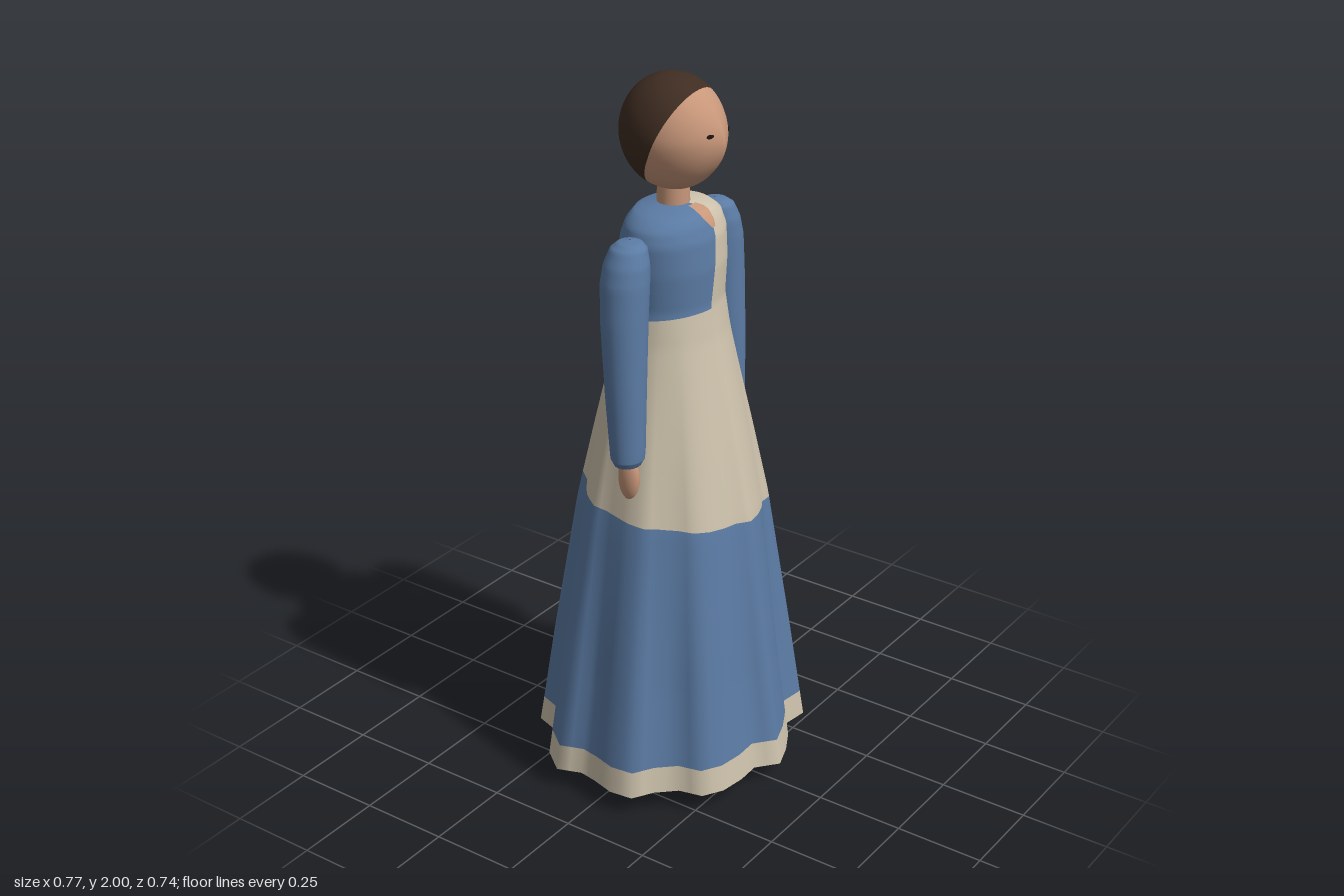
import * as THREE from 'three';
import { mergeVertices } from 'three/addons/utils/BufferGeometryUtils.js';

const mat = (name, color, side = THREE.FrontSide) => {
  const m = new THREE.MeshStandardMaterial({ color, side });
  m.name = name;
  return m;
};
const { lerp, clamp } = THREE.MathUtils;

// Wavy hem outline (x, z), from the front centre round by the model's left
const HEM = [
  [0, .365], [.07, .34], [.138, .304], [.18, .27], [.256, .28], [.298, .23], [.325, .158], [.327, .108],
  [.39, .06], [.39, -.01], [.338, -.12], [.338, -.183], [.31, -.24], [.23, -.256], [.14, -.32], [.07, -.37],
  [0, -.33], [-.067, -.337], [-.14, -.332], [-.204, -.325], [-.23, -.25], [-.28, -.225], [-.327, -.198],
  [-.38, -.13], [-.356, -.062], [-.365, -.01], [-.383, .056], [-.375, .123], [-.317, .158], [-.27, .208],
  [-.254, .275], [-.198, .308], [-.125, .319], [-.058, .317],
];
const N = HEM.length, BACK = 16;

// Dress profile: height, half width, half depth
const PROFILE = [
  [.06, .385, .362], [.135, .375, .35], [.45, .325, .305], [.8, .268, .253], [1, .228, .21], [1.2, .185, .165],
  [1.3, .165, .143], [1.4, .152, .128], [1.5, .161, .131], [1.58, .163, .124], [1.62, .15, .11],
  [1.645, .115, .093], [1.655, .085, .075], [1.66, .035, .035],
];

// Linear lookup in rows sorted by their first number
function sample(rows, y) {
  let i = 0;
  while (i < rows.length - 2 && y > rows[i + 1][0]) i++;
  const t = clamp((y - rows[i][0]) / (rows[i + 1][0] - rows[i][0]), 0, 1);
  return rows[i].map((v, k) => lerp(v, rows[i + 1][k], t));
}

function hemDirection(s) {
  const i = Math.floor(s), t = s - i;
  const a = HEM[((i % N) + N) % N], b = HEM[(((i + 1) % N) + N) % N];
  return new THREE.Vector2(lerp(a[0], b[0], t) / .385, lerp(a[1], b[1], t) / .362);
}

// Dress surface: folds fade from the hem up to the waist
function dressPoint(s, y) {
  const [, a, b] = sample(PROFILE, y);
  const wave = hemDirection(s), fold = clamp((1.35 - y) / 1.0, 0, 1);
  const p = wave.clone().normalize().lerp(wave, fold);
  return new THREE.Vector3(p.x * a, y, p.y * b);
}

function dressNormal(s, y) {
  const du = dressPoint(s + .5, y).sub(dressPoint(s - .5, y));
  const y0 = Math.max(.06, y - .012), y1 = Math.min(1.66, y + .012);
  return du.cross(dressPoint(s, y1).sub(dressPoint(s, y0))).normalize();
}

// Indexed sheet from a point function of u and v, both 0 to 1
function sheet(nu, nv, point, normal) {
  const pos = [], nor = [], idx = [];
  for (let j = 0; j <= nv; j++) for (let i = 0; i <= nu; i++) {
    pos.push(...point(i / nu, j / nv).toArray());
    if (normal) nor.push(...normal(i / nu, j / nv).toArray());
    if (i < nu && j < nv) {
      const a = j * (nu + 1) + i, b = a + nu + 1;
      idx.push(a, a + 1, b + 1, a, b + 1, b);
    }
  }
  let g = new THREE.BufferGeometry();
  g.setAttribute('position', new THREE.Float32BufferAttribute(pos, 3));
  g.setIndex(idx);
  if (normal) g.setAttribute('normal', new THREE.Float32BufferAttribute(nor, 3));
  else { g = mergeVertices(g, 1e-5); g.computeVertexNormals(); }
  return g;
}

// Piece of the dress between side limits (by v) and height limits (by position)
function dressPatch(nu, nv, s0, s1, low, high, offset = 0) {
  const at = (u, v) => {
    const s = lerp(s0(v), s1(v), u);
    return [s, lerp(low(s), high(s), v)];
  };
  const normal = (u, v) => dressNormal(...at(u, v));
  return sheet(nu, nv, (u, v) => dressPoint(...at(u, v)).addScaledVector(normal(u, v), offset), normal);
}

// Sleeve rings: height, centre x, centre z, half width, half depth
const SLEEVE = [
  [.995, .236, .02, .002, .002], [1, .236, .02, .038, .034], [1.02, .235, .02, .049, .045],
  [1.2, .231, .012, .056, .054], [1.4, .222, .003, .065, .061], [1.5, .214, 0, .066, .064],
  [1.55, .206, 0, .061, .06], [1.59, .197, 0, .049, .048], [1.605, .192, 0, .032, .032], [1.61, .19, 0, .002, .002],
];

function headGeometry() {
  let g = new THREE.SphereGeometry(1, 48, 40);
  g.rotateX(-Math.atan2(.89, .46));
  g.deleteAttribute('uv');
  g.deleteAttribute('normal');
  g = mergeVertices(g, 1e-5);
  const p = g.attributes.position;
  for (let i = 0; i < p.count; i++) {
    const x = p.getX(i), y = p.getY(i), z = p.getZ(i);
    const jaw = 1 - .16 * Math.max(0, -y) * Math.max(0, z + .4);
    const nose = z > 0 ? .022 * Math.exp(-Math.abs(x) / .35 - ((y + .12) / .5) ** 2) : 0;
    p.setXYZ(i, x * .13 * jaw, 1.847 + y * .153, z * (z > 0 ? .138 : .145) + nose);
  }
  g.computeVertexNormals();
  // Hair covers the first 22 rings from the back of the crown
  const hairCount = 48 * 3 + 21 * 48 * 6;
  g.addGroup(0, hairCount, 0);
  g.addGroup(hairCount, g.index.count - hairCount, 1);
  return g;
}

export function createModel() {
  const model = new THREE.Group();
  model.name = 'woman in long dress';
  const blue = mat('blue cloth', 0x5b7ba4, THREE.DoubleSide);
  const cream = mat('cream cloth', 0xcdc2ac, THREE.DoubleSide);
  const skin = mat('skin', 0xc8977a);
  const hair = mat('brown hair', 0x3f2d22);
  const dark = mat('eye black', 0x1c1614);
  const add = (name, geometry, material, parent = model) => {
    const m = new THREE.Mesh(geometry, material);
    m.name = name;
    parent.add(m);
    return m;
  };
  const constant = (v) => () => v;
  const angle = (s) => {
    if (s <= BACK - N) return -Math.PI;
    if (s >= BACK) return Math.PI;
    const d = hemDirection(s);
    return Math.atan2(d.x, d.y);
  };

  // Dress: hem band, skirt, pale middle, and two-tone bodice
  const skirtTop = (s) => .797 - .027 * angle(s);
  const chest = (s) => { const d = hemDirection(s).normalize(); return 1.375 + .015 * d.y; };
  const start = constant(BACK - N), end = constant(BACK);
  add('hemBand', dressPatch(N * 2, 2, start, end, constant(.06), constant(.135)), cream);
  add('skirt', dressPatch(N * 2, 18, start, end, constant(.135), skirtTop), blue);
  add('paleMiddle', dressPatch(N * 2, 18, start, end, skirtTop, chest), cream);
  const frontSeam = (v) => lerp(-.5, .8, v), sideSeam = 11.3;
  add('paleBodice', dressPatch(24, 40, frontSeam, constant(sideSeam), chest, constant(1.66)), cream);
  add('blueBodice', dressPatch(46, 40, constant(sideSeam - N), frontSeam, chest, constant(1.66)), blue);
  add('neckOpening', dressPatch(6, 12, (v) => lerp(.2, -1.4, v), (v) => lerp(.7, 1.2, v),
    constant(1.605), constant(1.657), .003), skin);

  // Neck and head
  add('neck', new THREE.CylinderGeometry(.042, .044, .12, 24), skin).position.set(0, 1.69, 0);
  add('head', headGeometry(), [hair, skin]);

  // Arms, legs and eyes, one of each per side
  for (const side of [1, -1]) {
    const label = side > 0 ? 'left' : 'right';
    add(label + 'Sleeve', sheet(24, 50, (u, v) => {
      const k = v * (SLEEVE.length - 1), i = Math.min(Math.floor(k), SLEEVE.length - 2);
      const [y, cx, cz, rx, rz] = SLEEVE[i].map((n, c) => lerp(n, SLEEVE[i + 1][c], k - i));
      const t = u * Math.PI * 2;
      return new THREE.Vector3(side * cx + Math.sin(t) * rx, y, cz + Math.cos(t) * rz);
    }), blue);
    const hand = add(label + 'Hand', new THREE.SphereGeometry(1, 20, 16), skin);
    hand.scale.set(.021, .065, .032);
    hand.position.set(side * .238, .962, .025);

    add(label + 'Leg', new THREE.CylinderGeometry(.055, .034, .8, 20), skin).position.set(side * .095, .44, 0);
    const foot = add(label + 'Foot', new THREE.SphereGeometry(1, 24, 16), skin);
    foot.scale.set(.05, .035, .105);
    foot.position.set(side * .1, .035, .035);

    const eye = add(label + 'Eye', new THREE.CircleGeometry(1, 12), dark);
    eye.scale.set(.011, .006, 1);
    eye.position.set(side * .041, 1.867, .141);
    eye.rotation.y = side * .42;
  }
  return model;
}
